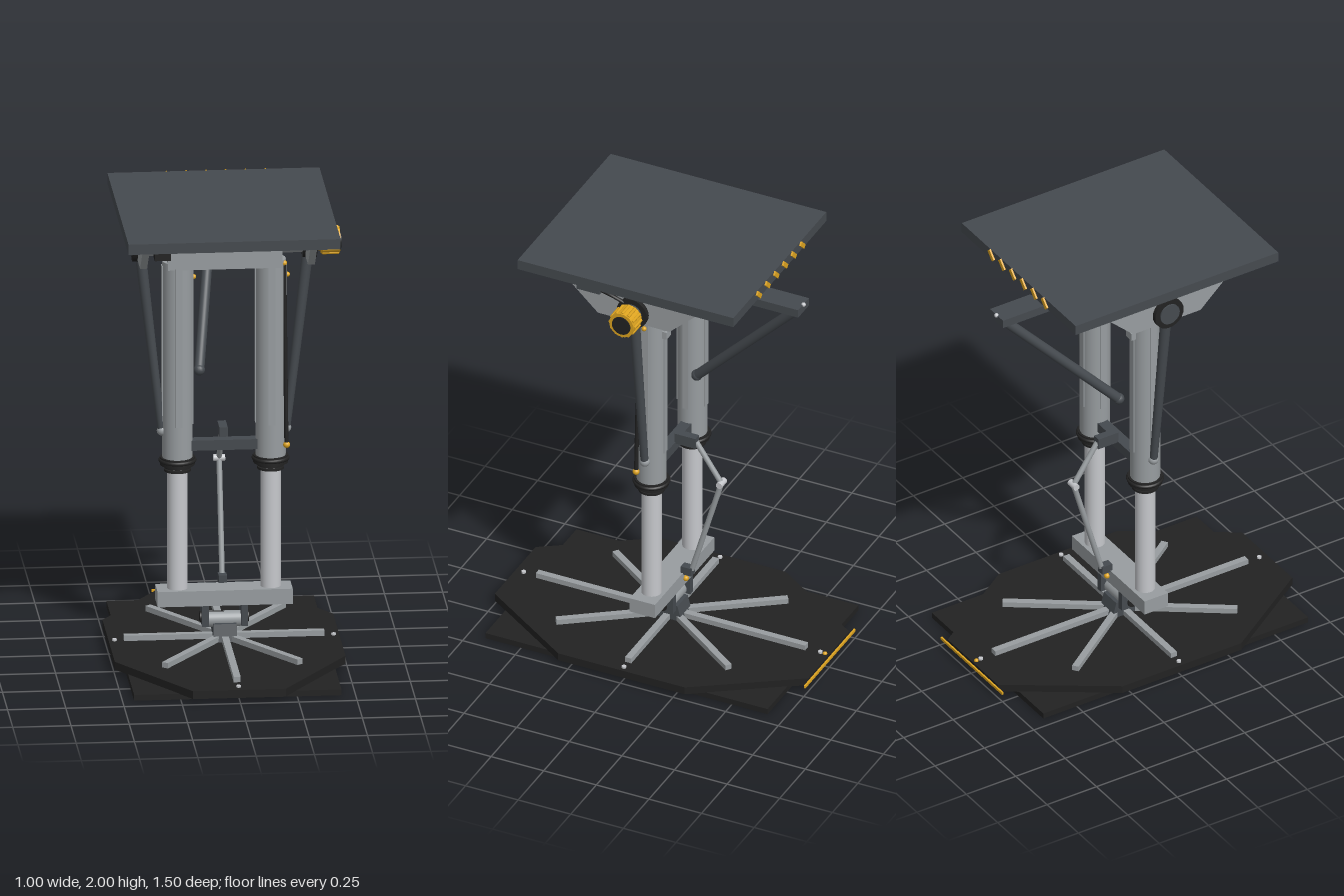
import * as THREE from 'three';

const mat = (name, color) => {
  const m = new THREE.MeshStandardMaterial({ color });
  m.name = name;
  return m;
};

export function createModel() {
  const black = mat('black rubber', 0x222222);
  const dark = mat('dark steel', 0x454a4f);
  const gray = mat('gray steel', 0x989da0);
  const silver = mat('polished silver', 0xc6c8cc);
  const yellow = mat('safety yellow', 0xdfa520);

  const model = new THREE.Group();
  model.name = 'liftTable';
  const root = new THREE.Group();
  root.name = 'assembly';
  root.position.x = -0.005;
  model.add(root);

  const V = (x, y, z) => new THREE.Vector3(x, y, z);
  const add = (name, geo, m, x = 0, y = 0, z = 0) => {
    const mesh = new THREE.Mesh(geo, m);
    mesh.name = name;
    mesh.position.set(x, y, z);
    root.add(mesh);
    return mesh;
  };
  const box = (name, m, w, h, d, x, y, z) => add(name, new THREE.BoxGeometry(w, h, d), m, x, y, z);
  const ball = (name, m, r, x, y, z) => add(name, new THREE.SphereGeometry(r, 14, 10), m, x, y, z);
  // Round bar between two points
  const rod = (name, m, a, b, r, r2 = r, sides = 24) => {
    const dir = b.clone().sub(a);
    const mesh = add(name, new THREE.CylinderGeometry(r2, r, dir.length(), sides), m);
    mesh.position.copy(a).add(b).multiplyScalar(0.5);
    mesh.quaternion.setFromUnitVectors(V(0, 1, 0), dir.normalize());
    return mesh;
  };
  // Flat plate extruded from an outline, centred on its thickness
  const plate = (pts, t) => new THREE.ExtrudeGeometry(
    new THREE.Shape(pts.map(p => new THREE.Vector2(...p))), { depth: t, bevelEnabled: false }
  ).translate(0, 0, -t / 2);

  // Base: rectangular pad under a chamfered deck
  box('basePad', black, 0.89, 0.026, 1.34, 0, 0.017, 0);
  const deck = [[0.2, 0.745], [0.495, 0.3], [0.495, -0.3], [0.2, -0.745],
    [-0.2, -0.745], [-0.495, -0.3], [-0.495, 0.3], [-0.2, 0.745]].reverse();
  add('baseDeck', plate(deck, 0.035).rotateX(Math.PI / 2), black, 0, 0.046, 0);
  box('baseWarningStrip', yellow, 0.49, 0.012, 0.008, 0, 0.046, -0.749);
  ball('baseMarker', yellow, 0.01, 0, 0.065, -0.727);

  // Radial ribs and deck rivets
  const tips = [[0.43, 0], [0.29, 0.41], [0, 0.64], [-0.29, 0.41],
    [-0.43, 0], [-0.29, -0.41], [0, -0.64], [0.29, -0.41]];
  tips.forEach(([x, z]) => {
    const len = Math.hypot(x, z);
    const rib = box('baseRib', gray, len, 0.024, 0.03, x / 2, 0.077, z / 2);
    rib.rotation.y = Math.atan2(-z, x);
  });
  for (const [x, z] of [[0.47, 0], [-0.47, 0], [0, 0.705], [0, -0.705]])
    add('deckRivet', new THREE.CylinderGeometry(0.01, 0.01, 0.01, 12), silver, x, 0.067, z);

  // Pivot hub with clevis
  const foot = [[-0.07, 0.065], [0.07, 0.065], [0.05, 0.14], [-0.05, 0.14]];
  add('hubFoot', plate(foot, 0.1).rotateY(Math.PI / 2), dark);
  rod('hubBarrel', gray, V(-0.07, 0.15, 0), V(0.07, 0.15, 0), 0.035);
  rod('hubPin', black, V(-0.105, 0.16, 0), V(0.105, 0.16, 0), 0.025);
  for (const s of [-1, 1]) box('clevisPlate', dark, 0.028, 0.1, 0.105, s * 0.084, 0.18, 0);

  // Lower and upper crossbeams
  box('lowerBeam', gray, 0.58, 0.068, 0.12, 0, 0.26, 0);
  box('upperBeam', gray, 0.49, 0.11, 0.13, 0, 1.79, 0);
  rod('trunnionTube', gray, V(-0.37, 1.835, 0), V(0.37, 1.835, 0), 0.05);
  box('middleBrace', dark, 0.3, 0.045, 0.05, 0, 0.935, 0);

  for (const s of [-1, 1]) {
    const x = s * 0.2;
    // Telescopic leg
    rod('innerTube', silver, V(x, 0.29, 0), V(x, 0.86, 0), 0.044);
    rod('outerTube', gray, V(x, 0.87, 0), V(x, 1.76, 0), 0.065);
    rod('collar', black, V(x, 0.848, 0), V(x, 0.882, 0), 0.075);
    for (const y of [0.825, 0.84]) rod('wiperRing', black, V(x, y - 0.005, 0), V(x, y + 0.005, 0), 0.058);
    const lip = add('collarRim', new THREE.TorusGeometry(0.073, 0.009, 8, 28), black, x, 0.868, 0);
    lip.rotation.x = Math.PI / 2;
    for (const k of [-1, 1]) {
      box('sideRail', gray, 0.014, 0.71, 0.03, x + k * 0.061, 1.385, 0);
      box('faceRail', gray, 0.03, 0.71, 0.014, x, 1.385, k * 0.061);
    }
    box('cableClip', gray, 0.045, 0.035, 0.025, x, 1.64, -0.07);

    // Trunnion support under the table
    const gusset = [[-0.36, 1.955], [-0.17, 1.78], [0.17, 1.78], [0.36, 1.955]];
    add('gusset', plate(gusset, 0.03).rotateY(Math.PI / 2), gray, s * 0.36, 0, 0);
    rod('trunnionDisc', black, V(s * 0.335, 1.835, 0), V(s * 0.395, 1.835, 0), 0.072);
    rod('trunnionCap', dark, V(s * 0.39, 1.835, 0), V(s * 0.402, 1.835, 0), 0.048);

    // Sloping side brace
    rod('sideBrace', dark, V(s * 0.36, 1.8, 0.005), V(s * 0.268, 1.0, 0), 0.024, 0.017);
    ball('braceJoint', gray, 0.023, s * 0.266, 1.0, 0);
    ball('legPin', yellow, 0.011, s < 0 ? -0.13 : 0.272, 1.685, 0);
  }

  // Tilt knob on the left end
  rod('knobNeck', yellow, V(0.38, 1.835, 0), V(0.425, 1.835, 0), 0.045);
  rod('knob', yellow, V(0.415, 1.835, 0), V(0.495, 1.835, 0), 0.058);
  for (let i = 0; i < 12; i++) {
    const a = i * Math.PI / 6, y = 1.835 + Math.cos(a) * 0.056, z = Math.sin(a) * 0.056;
    rod('knobGrip', yellow, V(0.42, y, z), V(0.49, y, z), 0.008, 0.008, 8);
  }
  rod('knobCap', black, V(0.49, 1.835, 0), V(0.5, 1.835, 0), 0.043);

  // Slim locking rod beside the left leg
  rod('lockRod', black, V(0.264, 0.945, 0.042), V(0.256, 1.74, 0.03), 0.009);
  ball('lockRodEnd', yellow, 0.015, 0.265, 0.935, 0.042);
  ball('lockRodEnd', yellow, 0.012, 0.256, 1.745, 0.03);

  // Folding torque link behind the legs
  box('upperLinkBracket', dark, 0.036, 0.05, 0.1, 0, 0.975, -0.07);
  box('lowerLinkBracket', dark, 0.036, 0.038, 0.05, 0, 0.307, -0.075);
  rod('upperLink', gray, V(0, 0.975, -0.115), V(0, 0.797, -0.235), 0.012);
  rod('lowerLink', gray, V(0, 0.797, -0.235), V(0, 0.315, -0.095), 0.012);
  rod('linkPin', silver, V(-0.025, 0.797, -0.235), V(0.025, 0.797, -0.235), 0.015);
  ball('greaseFitting', yellow, 0.013, 0, 0.26, -0.066);

  // Rear arm and release lever
  box('rearArm', dark, 0.105, 0.038, 0.57, 0, 1.811, -0.34);
  rod('releaseLever', dark, V(0, 1.805, -0.605), V(-0.1, 1.245, -0.07), 0.022);
  ball('leverEnd', dark, 0.025, -0.1, 1.245, -0.07);
  ball('armRivet', silver, 0.01, 0, 1.828, -0.625);

  // Table top with rear warning stripes
  box('tableTop', dark, 0.91, 0.046, 1.025, 0, 1.975, 0);
  for (let i = 0; i < 6; i++) {
    const stripe = box('warningStripe', yellow, 0.05, 0.02, 0.009, (i - 2.5) * 0.085, 1.975, -0.516);
    stripe.rotation.z = Math.PI / 4;
  }

  // Fittings under the table
  box('controlBox', black, 0.07, 0.055, 0.065, -0.3, 1.923, 0.4);
  box('sensorBox', dark, 0.03, 0.05, 0.11, 0.395, 1.925, 0.2);
  const path = new THREE.CatmullRomCurve3([V(0.395, 1.915, 0.15), V(0.4, 1.905, 0.09), V(0.39, 1.88, 0.04)]);
  add('sensorCable', new THREE.TubeGeometry(path, 12, 0.008, 8), black);
  ball('indicator', yellow, 0.014, 0.385, 1.94, 0.4);
  ball('indicator', yellow, 0.014, 0.295, 1.942, 0.33);
  for (const x of [-0.4, 0.08, 0.4]) for (const z of [-0.46, 0.46])
    ball('tableBolt', gray, 0.011, x, 1.952, z);

  return model;
}
